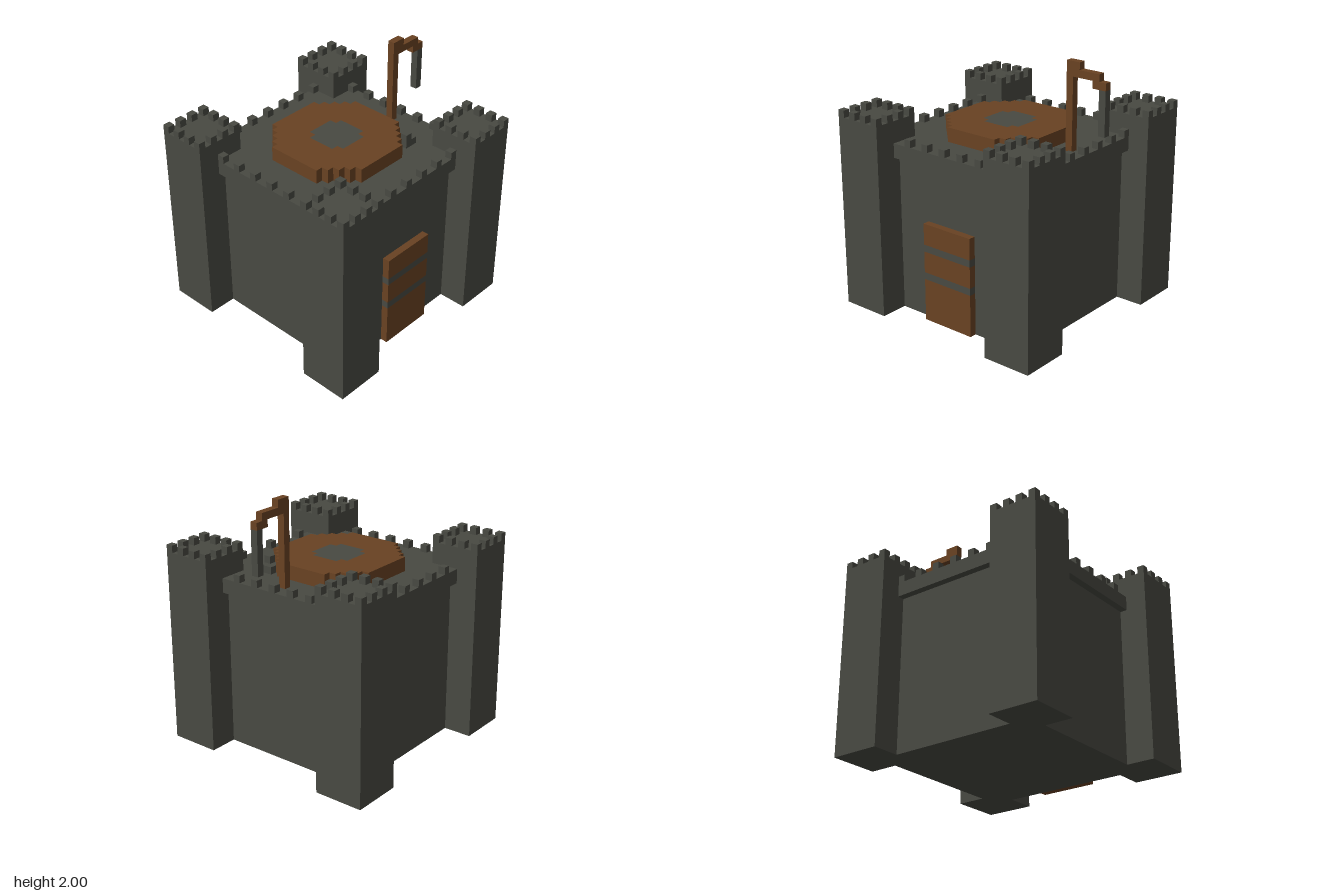
import * as THREE from 'three';

const U = 1 / 18; // one block

export function createModel() {
  const stone = new THREE.MeshStandardMaterial({ color: 0x484942 });
  stone.name = 'stone';
  const wood = new THREE.MeshStandardMaterial({ color: 0x694222 });
  wood.name = 'wood';

  const model = new THREE.Group();
  model.name = 'castle';

  const group = (name) => {
    const g = new THREE.Group();
    g.name = name;
    model.add(g);
    return g;
  };

  // Box between two corners, measured in blocks
  const box = (parent, name, mat, [x0, y0, z0], [x1, y1, z1]) => {
    const geo = new THREE.BoxGeometry((x1 - x0) * U, (y1 - y0) * U, (z1 - z0) * U);
    const mesh = new THREE.Mesh(geo, mat);
    mesh.position.set((x0 + x1) * U / 2, (y0 + y1) * U / 2, (z0 + z1) * U / 2);
    mesh.name = name;
    parent.add(mesh);
  };
  const cube = (parent, name, mat, x, y, z) =>
    box(parent, name, mat, [x, y, z], [x + 1, y + 1, z + 1]);

  // Keep and its overhanging roof slab
  const keep = group('keep');
  box(keep, 'keepWalls', stone, [-12, 0, -12], [12, 22, 12]);
  box(keep, 'roofSlab', stone, [-13, 22, -13], [13, 24, 13]);
  for (const side of [-13, 12]) {
    for (let x = -7; x <= 8; x += 3) cube(keep, 'merlon', stone, x, 24, side);
    for (let z = -9; z <= 6; z += 3) cube(keep, 'merlon', stone, side, 24, z);
  }

  // Four corner towers with merlons on every second block of the rim
  for (const x of [-16, 9]) {
    for (const z of [-16, 9]) {
      const tower = group('tower');
      box(tower, 'towerShaft', stone, [x, 0, z], [x + 7, 27, z + 7]);
      for (let i = 0; i < 7; i += 2) {
        for (let j = 0; j < 7; j += 2) {
          if (i % 6 === 0 || j % 6 === 0) cube(tower, 'towerMerlon', stone, x + i, 27, z + j);
        }
      }
    }
  }

  // Door: planks alternating with two bands
  const door = group('door');
  const levels = [0, 6, 7, 10, 11, 14];
  for (let i = 0; i < 5; i++) {
    box(door, i % 2 ? 'doorBand' : 'doorPlanks', i % 2 ? stone : wood,
      [-4, levels[i], 12], [4, levels[i + 1], 13]);
  }

  // Stepped round platform: one corner repeated by quarter turns
  const ring = (corner) => {
    const pts = [];
    for (let q = 0; q < 4; q++) {
      for (const [a, b] of corner) {
        let x = a, y = b;
        for (let k = 0; k < q; k++) [x, y] = [-y, x];
        pts.push(new THREE.Vector2(x * U, y * U));
      }
    }
    return pts;
  };
  const rim = ring([[8, 4], [7, 4], [7, 5], [6, 5], [6, 6], [5, 6], [5, 7], [4, 7], [4, 8]]);
  const hub = ring([[3, 2], [2, 2], [2, 3]]);
  const platform = group('platform');
  const slab = (name, shape, mat) => {
    const geo = new THREE.ExtrudeGeometry(shape, { depth: 2 * U, bevelEnabled: false });
    geo.rotateX(-Math.PI / 2);
    const mesh = new THREE.Mesh(geo, mat);
    mesh.position.y = 24 * U;
    mesh.name = name;
    platform.add(mesh);
  };
  const rimShape = new THREE.Shape(rim);
  rimShape.holes.push(new THREE.Path(hub));
  slab('platformRing', rimShape, wood);
  slab('platformHub', new THREE.Shape(hub), stone);

  // Small pile of stones beside the platform
  const pile = group('stonePile');
  box(pile, 'pileBase', stone, [6, 24, 5], [8, 25, 7]);
  cube(pile, 'pileTop', stone, 6, 25, 6);

  // Hoist hanging over the right-hand wall
  const hoist = group('hoist');
  box(hoist, 'hoistPost', wood, [10, 24, 0], [11, 35, 1]);
  box(hoist, 'hoistCap', wood, [10, 35, 0], [12, 36, 1]);
  box(hoist, 'hoistBeam', wood, [11, 34, 0], [15, 35, 1]);
  box(hoist, 'hoistTip', wood, [14, 33, 0], [16, 34, 1]);
  box(hoist, 'hoistChain', stone, [15, 27, 0], [16, 33, 1]);

  return model;
}
